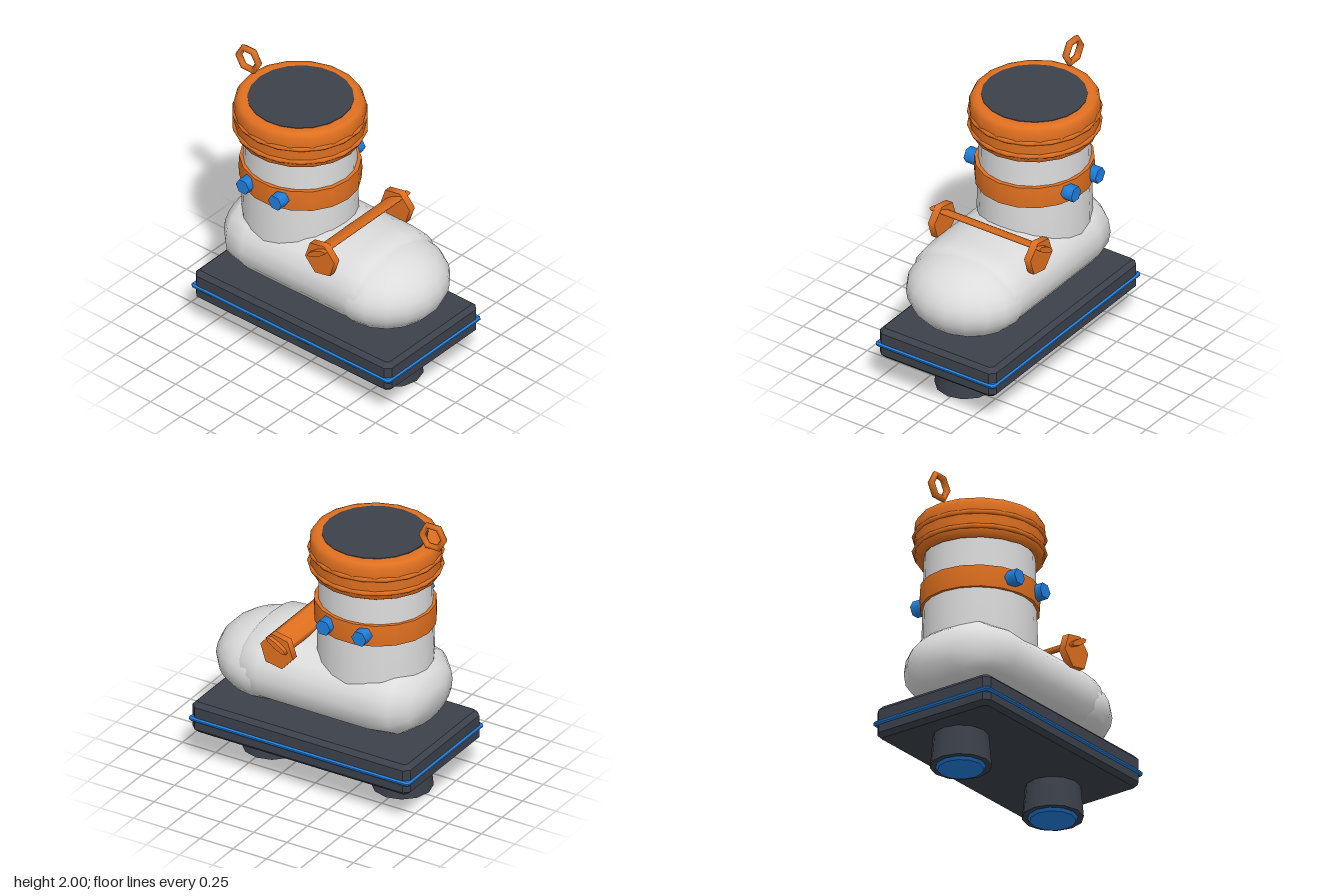
import * as THREE from 'three';

const mat = (name, color, side = THREE.FrontSide) => {
  const m = new THREE.MeshStandardMaterial({ color, side });
  m.name = name;
  return m;
};

// Rectangular slab with clipped corners and bevelled edges, standing on y0
function slab(w, d, y0, h, bevel, corner) {
  const x = w / 2 - bevel, z = d / 2 - bevel, c = corner;
  const shape = new THREE.Shape([
    [-x + c, -z], [x - c, -z], [x, -z + c], [x, z - c],
    [x - c, z], [-x + c, z], [-x, z - c], [-x, -z + c],
  ].map(p => new THREE.Vector2(...p)));
  const g = new THREE.ExtrudeGeometry(shape, {
    depth: h - 2 * bevel, bevelEnabled: true, bevelSize: bevel, bevelThickness: bevel, bevelSegments: 1,
  });
  return g.rotateX(-Math.PI / 2).translate(0, y0 + bevel, 0);
}

// Smooth closed skin through rounded sections [z, half width, bottom, top]
function loft(sections, n, power) {
  const pos = [], idx = [];
  const bend = v => Math.sign(v) * Math.abs(v) ** (2 / power);
  for (const [z, rx, y0, y1] of sections) {
    for (let j = 0; j < n; j++) {
      const t = (j / n) * Math.PI * 2;
      pos.push(rx * bend(Math.cos(t)), (y0 + y1) / 2 + (y1 - y0) / 2 * bend(Math.sin(t)), z);
    }
  }
  const last = sections.length - 1;
  for (let i = 0; i < last; i++) {
    for (let j = 0; j < n; j++) {
      const k = (j + 1) % n, a = i * n + j, b = i * n + k;
      idx.push(a, b, a + n, b, b + n, a + n);
    }
  }
  for (const i of [0, last]) {
    const [z, , y0, y1] = sections[i], c = pos.length / 3;
    pos.push(0, (y0 + y1) / 2, z);
    for (let j = 0; j < n; j++) {
      const a = i * n + j, b = i * n + (j + 1) % n;
      idx.push(c, ...(i ? [a, b] : [b, a]));
    }
  }
  const g = new THREE.BufferGeometry();
  g.setAttribute('position', new THREE.Float32BufferAttribute(pos, 3));
  g.setIndex(idx);
  g.computeVertexNormals();
  return g;
}

const lathe = (points, sides) =>
  new THREE.LatheGeometry(points.map(p => new THREE.Vector2(...p)), sides);

export function createModel() {
  const model = new THREE.Group();
  model.name = 'boot';
  const shell = mat('pale grey shell', 0xdcdcdc);
  const orange = mat('orange trim', 0xe07020);
  const dark = mat('charcoal', 0x3c414b);
  const blue = mat('bright blue', 0x2080e0);

  const add = (name, geometry, material, x = 0, y = 0, z = 0) => {
    const m = new THREE.Mesh(geometry, material);
    m.name = name;
    m.position.set(x, y, z);
    model.add(m);
    return m;
  };

  // Sole and the glowing edge around it
  add('sole', slab(0.91, 1.64, 0.23, 0.22, 0.03, 0.02), dark);
  add('soleTrim', slab(0.93, 1.66, 0.313, 0.034, 0.012, 0.01), blue);

  // Thrusters under toe and heel
  for (const z of [0.475, -0.5]) {
    add('thruster', new THREE.CylinderGeometry(0.18, 0.2, 0.22, 12), dark, 0, 0.13, z);
    add('thrusterGlow', new THREE.CylinderGeometry(0.165, 0.15, 0.022, 12), blue, 0, 0.011, z);
  }

  // Foot
  add('foot', loft([
    [-0.75, 0.13, 0.67, 0.8], [-0.71, 0.27, 0.56, 0.9], [-0.61, 0.375, 0.49, 0.98],
    [-0.45, 0.415, 0.48, 1.0], [0.0, 0.415, 0.48, 1.0], [0.35, 0.415, 0.48, 1.005],
    [0.48, 0.4, 0.48, 1.0], [0.57, 0.32, 0.53, 0.91], [0.61, 0.12, 0.66, 0.8],
  ], 20, 2.25), shell);
  const toe = add('toeCap', new THREE.SphereGeometry(1, 18, 14), shell, 0, 0.715, 0.44);
  toe.scale.set(0.412, 0.267, 0.388);

  // Shaft of the boot
  const shaft = add('shaft', lathe([[0.38, 0.7], [0.385, 1.0], [0.378, 1.2], [0.37, 1.58]], 20), shell, 0, 0, -0.3);
  shaft.scale.x = 0.95;

  // Padded cuff with two seams and a dark opening
  add('cuff', lathe([
    [0.35, 1.56], [0.38, 1.535], [0.405, 1.55], [0.418, 1.6], [0.412, 1.65],
    [0.42, 1.71], [0.418, 1.77], [0.4, 1.805], [0.37, 1.813], [0.33, 1.81],
  ], 18), orange, 0, 0, -0.3).scale.z = 1.03;
  for (const y of [1.6, 1.7]) {
    const seam = add('cuffSeam', new THREE.TorusGeometry(0.414, 0.017, 6, 18), orange, 0, y, -0.3);
    seam.rotation.x = Math.PI / 2;
    seam.scale.y = 1.03;
  }
  add('opening', new THREE.CylinderGeometry(0.342, 0.342, 0.02, 20), dark, 0, 1.805, -0.295);

  // Ankle strap
  const strap = add('ankleStrap', lathe([
    [0.36, 1.19], [0.4, 1.19], [0.4, 1.19], [0.405, 1.265],
    [0.4, 1.34], [0.4, 1.34], [0.36, 1.34],
  ], 18), orange, 0, 0, -0.297);
  strap.scale.x = 0.95;

  for (const side of [-1, 1]) {
    // Bolts on the ankle strap
    for (const z of [-0.16, -0.43]) {
      const bolt = add('bolt', new THREE.CylinderGeometry(0.055, 0.055, 0.1, 6), blue, side * 0.37, 1.27, z);
      bolt.rotation.z = Math.PI / 2;
    }
    // Side plates holding the instep bar
    const plate = add('barPlate', new THREE.CylinderGeometry(0.125, 0.125, 0.05, 6), orange, side * 0.375, 0.98, 0.2);
    plate.rotation.set(-0.2, 0, Math.PI / 2);
  }

  // Flattened, tilted bar across the instep
  const bar = new THREE.CylinderGeometry(0.085, 0.085, 0.86, 8).rotateZ(Math.PI / 2).scale(1, 0.25, 1);
  add('instepBar', bar, orange, 0, 1.035, 0.19).rotation.x = -0.53;

  // Pull loop behind the cuff
  const loop = add('pullLoop', new THREE.TorusGeometry(0.083, 0.023, 6, 6), orange, 0, 1.91, -0.73);
  loop.rotation.y = Math.PI / 2;

  return model;
}
